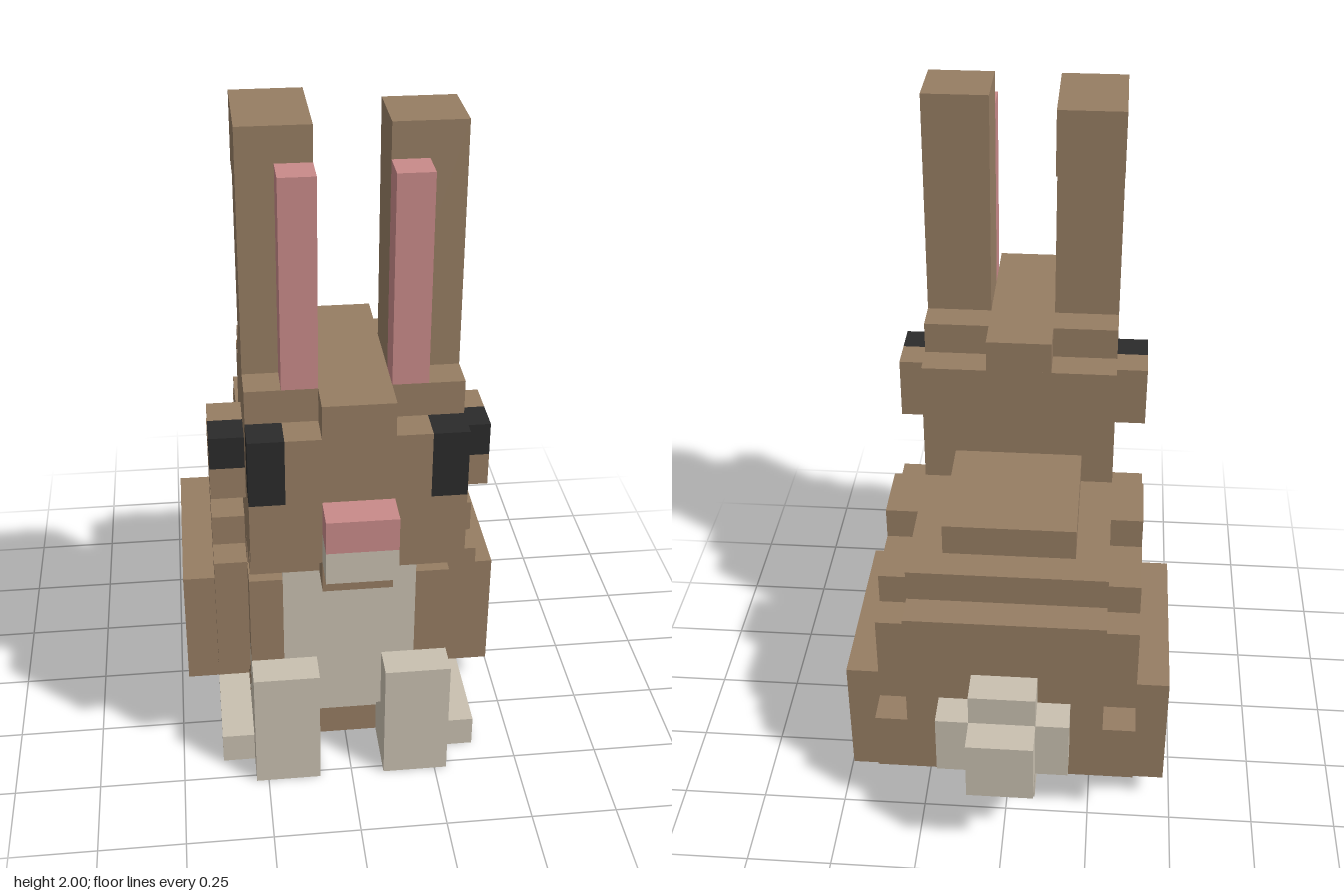
import * as THREE from 'three';

const U = 2 / 21; // size of one block

const mat = (name, color) => {
  const m = new THREE.MeshStandardMaterial({ color });
  m.name = name;
  return m;
};

export function createModel() {
  const fur = mat('brown fur', 0x967d63);
  const cream = mat('cream fur', 0xc9c0b0);
  const pink = mat('pink skin', 0xc98a89);
  const black = mat('black eye', 0x2b2b2b);

  const model = new THREE.Group();
  model.name = 'rabbit';

  // Box between two corners, in block units
  function box(parent, name, material, x0, x1, y0, y1, z0, z1) {
    const geo = new THREE.BoxGeometry((x1 - x0) * U, (y1 - y0) * U, (z1 - z0) * U);
    const mesh = new THREE.Mesh(geo, material);
    mesh.position.set((x0 + x1) / 2 * U, (y0 + y1) / 2 * U, (z0 + z1) / 2 * U);
    mesh.name = name;
    parent.add(mesh);
  }
  // Box centred on x = 0
  const mid = (parent, name, material, w, ...r) => box(parent, name, material, -w, w, ...r);
  // Mirrored pair of boxes
  function pair(parent, name, material, x0, x1, ...r) {
    box(parent, name + 'Left', material, x0, x1, ...r);
    box(parent, name + 'Right', material, -x1, -x0, ...r);
  }
  function group(name) {
    const g = new THREE.Group();
    g.name = name;
    model.add(g);
    return g;
  }

  // Body: core, stepped back and sides
  const body = group('body');
  mid(body, 'core', fur, 3, 1, 9, -4.5, 2.5);
  mid(body, 'shoulders', fur, 3, 2, 8, 2.5, 3.5);
  mid(body, 'backRidge', fur, 2, 9, 10, -3.5, 0.5);
  mid(body, 'rump', fur, 3, 2, 8, -5.5, -4.5);
  pair(body, 'rumpNub', fur, 3, 4, 2, 4, -5.5, -4.5);
  const flank = [
    [8, 9, -1.5, 0.5], [7, 8, -3.5, 2.5], [3, 7, -4.5, 3.5],
    [2, 3, -4.5, 2.5], [1, 2, -4.5, 1.5],
  ];
  for (const f of flank) pair(body, 'flank', fur, 3, 4, ...f);
  pair(body, 'haunch', fur, 4, 5, 1, 5, -4.5, 1.5);
  mid(body, 'base', fur, 2, 0, 1, -3.5, 3.5);

  // Chest and belly
  mid(body, 'chest', cream, 2, 2, 8, 3.5, 4.5);
  pair(body, 'chestSide', fur, 2, 3, 2, 7, 3.5, 4.5);
  mid(body, 'belly', cream, 3, 1, 2, 2.5, 3.5);

  // Legs and feet
  const legs = group('legs');
  pair(legs, 'frontLeg', cream, 1, 3, 0, 4, 3.5, 5.5);
  pair(legs, 'hindFoot', cream, 3, 4, 0, 1, 0.5, 4.5);
  pair(legs, 'heel', fur, 3, 4, 0, 1, -3.5, 0.5);

  // Tail
  const tail = group('tail');
  mid(tail, 'tailUpright', cream, 1, 2, 6, -6.5, -5.5);
  pair(tail, 'tailSide', cream, 1, 2, 3, 5, -6.5, -5.5);
  mid(tail, 'tailTip', cream, 1, 3, 5, -7.5, -6.5);

  // Head with clipped corners
  const head = group('head');
  mid(head, 'skull', fur, 3, 8, 14, 1.5, 5.5);
  mid(head, 'skullBack', fur, 3, 8, 13, 0.5, 1.5);
  mid(head, 'crownBack', fur, 1, 13, 14, 0.5, 1.5);
  mid(head, 'lowerFace', fur, 3, 9, 11, 5.5, 6.5);
  mid(head, 'upperFace', fur, 2, 11, 13, 5.5, 6.5);
  mid(head, 'brow', fur, 1, 13, 14, 5.5, 6.5);
  mid(head, 'jaw', fur, 1, 8, 9, 5.5, 6.5);
  pair(head, 'eye', black, 2, 3, 11, 13, 5.5, 6.5);
  pair(head, 'cheekLower', fur, 3, 4, 10, 11, 2.5, 4.5);
  pair(head, 'cheekUpper', fur, 3, 4, 11, 12, 2.5, 3.5);
  pair(head, 'cheekSpot', black, 3, 4, 11, 12, 3.5, 4.5);
  mid(head, 'nose', pink, 1, 10, 11, 6.5, 7.5);
  mid(head, 'chin', cream, 1, 9, 10, 6.5, 7.5);

  // Ears, the right one folded back at the tip
  const ears = group('ears');
  pair(ears, 'ear', fur, 1, 3, 14, 21, 2.5, 4.5);
  pair(ears, 'innerEar', pink, 1, 2, 14, 20, 4.5, 5.5);
  box(ears, 'foldedTip', fur, -3, -1, 19, 21, 1.5, 2.5);

  return model;
}
